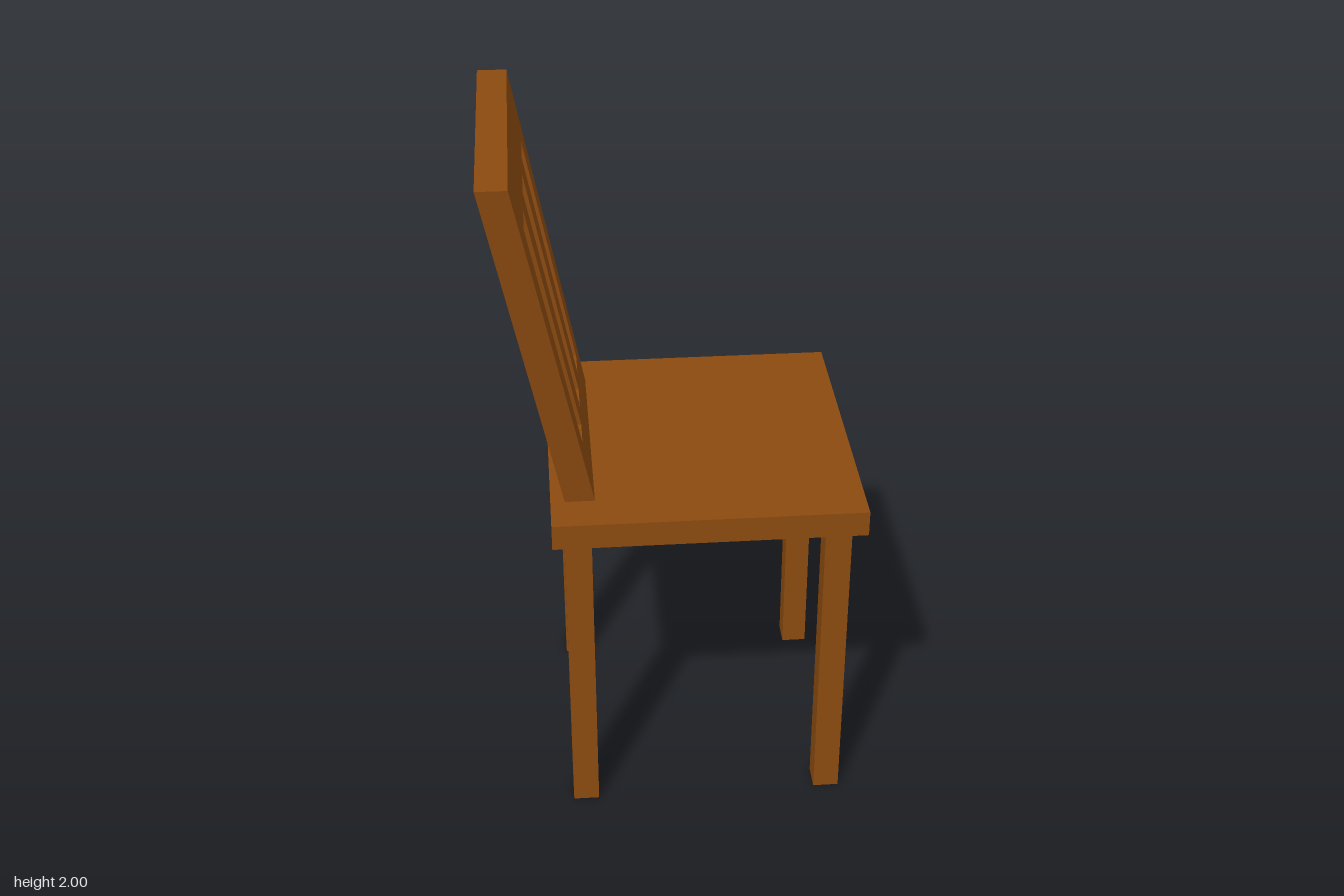
import * as THREE from 'three';

const SEAT_TOP = 1.03, SEAT_BOTTOM = 0.955, TOP = 2;

// Half width of the backrest, widening towards the top
const halfWidth = y => THREE.MathUtils.mapLinear(y, SEAT_TOP, TOP, 0.335, 0.42);

// Tapered four-sided outline; a and b are fractions of the half width
function taperedPoints(a, b, y0, y1) {
  return [[a, y0], [b, y0], [b, y1], [a, y1]]
    .map(([f, y]) => new THREE.Vector2(f * halfWidth(y), y));
}

export function createModel() {
  const group = new THREE.Group();
  const wood = new THREE.MeshStandardMaterial({ color: 0x8b4a10, flatShading: true });

  // The whole chair is turned about the vertical axis
  const chair = new THREE.Group();
  chair.name = 'chair';
  chair.position.set(0.04, 0, -0.045);
  chair.rotation.y = THREE.MathUtils.degToRad(-42.6);
  group.add(chair);

  const add = (name, geometry, x, y, z) => {
    const mesh = new THREE.Mesh(geometry, wood);
    mesh.name = name;
    mesh.position.set(x, y, z);
    chair.add(mesh);
  };

  // Seat
  add('seat', new THREE.BoxGeometry(0.91, SEAT_TOP - SEAT_BOTTOM, 0.87),
    0, (SEAT_TOP + SEAT_BOTTOM) / 2, 0);

  // Legs
  const legGeometry = new THREE.BoxGeometry(0.075, SEAT_BOTTOM, 0.075);
  for (const x of [-1, 1]) {
    for (const z of [-1, 1]) {
      add(z > 0 ? 'backLeg' : 'frontLeg', legGeometry, x * 0.36, SEAT_BOTTOM / 2, z * 0.363);
    }
  }

  // Backrest: tapered panel with three slots, evenly split into sevenths
  const panel = new THREE.Shape(taperedPoints(-1, 1, SEAT_TOP, TOP));
  for (const c of [-4, 0, 4]) {
    panel.holes.push(new THREE.Path(taperedPoints((c - 1) / 7, (c + 1) / 7, 1.165, 1.835)));
  }
  const back = new THREE.ExtrudeGeometry(panel, { depth: 0.083, bevelEnabled: false });

  // Lean it backwards while its top and bottom stay level
  const p = back.attributes.position;
  for (let i = 0; i < p.count; i++) {
    p.setZ(i, p.getZ(i) + 0.2 * (p.getY(i) - SEAT_TOP));
  }
  back.computeVertexNormals();
  add('backrest', back, 0, 0, 0.312);

  return group;
}
